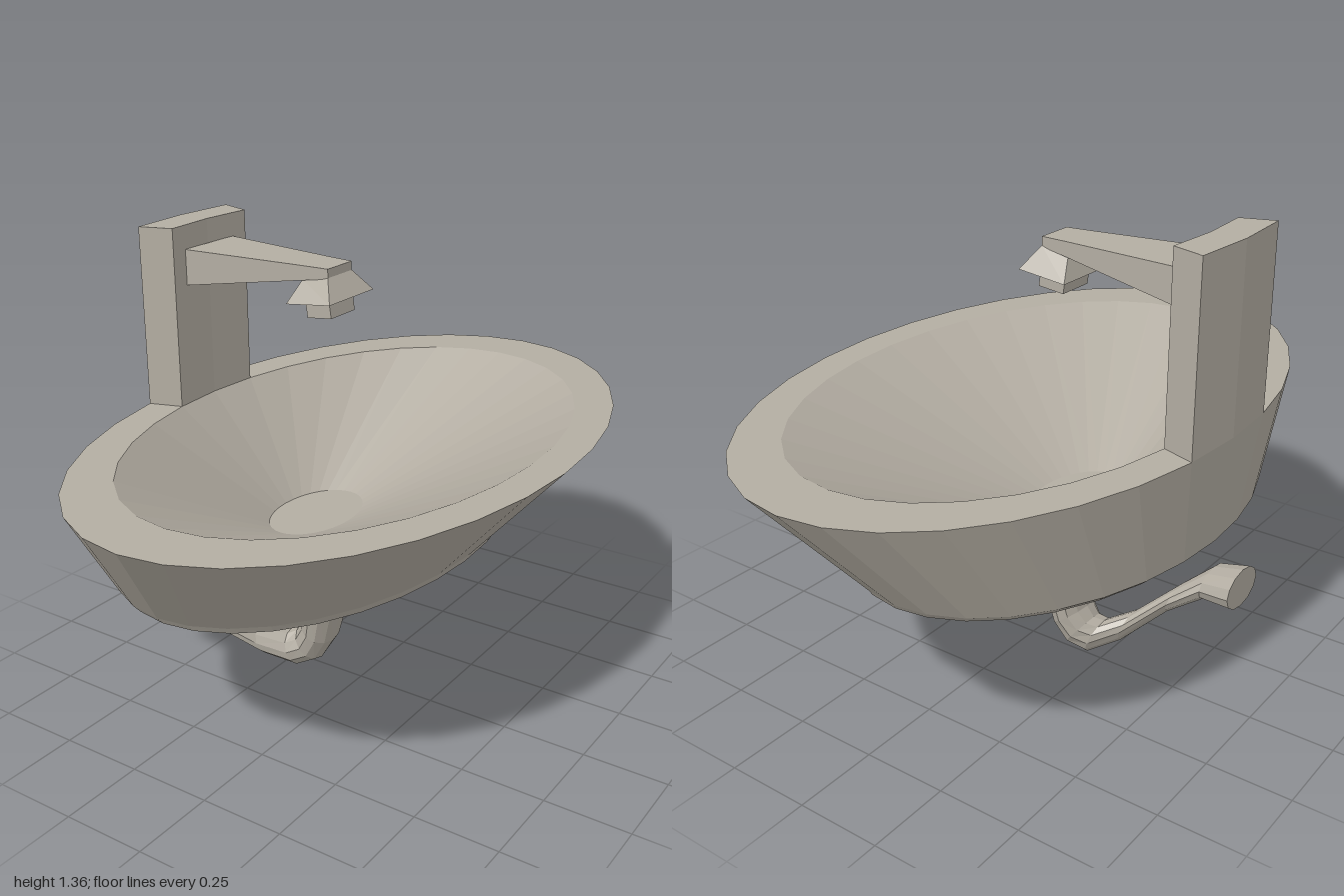
import * as THREE from 'three';

const ceramic = new THREE.MeshStandardMaterial({ color: 0xb3ada2, flatShading: true });
ceramic.name = 'warm grey ceramic';

const V = (x, y, z) => new THREE.Vector3(x, y, z);

// Skin a chain of equal-length loops, closing the first and last with caps.
function loft(name, loops) {
  const pos = [];
  const tri = (...pts) => pts.forEach((p) => pos.push(p.x, p.y, p.z));
  const n = loops[0].length;
  const centre = (loop) => loop.reduce((s, p) => s.add(p), V(0, 0, 0)).divideScalar(n);
  const first = loops[0], last = loops[loops.length - 1];
  const c0 = centre(first), c1 = centre(last);
  for (let i = 0; i < n; i++) {
    const j = (i + 1) % n;
    for (let k = 0; k + 1 < loops.length; k++) {
      const a = loops[k], b = loops[k + 1];
      tri(a[i], a[j], b[i]);
      tri(a[j], b[j], b[i]);
    }
    tri(c0, first[j], first[i]);
    tri(c1, last[i], last[j]);
  }
  const geometry = new THREE.BufferGeometry();
  geometry.setAttribute('position', new THREE.Float32BufferAttribute(pos, 3));
  geometry.computeVertexNormals();
  const mesh = new THREE.Mesh(geometry, ceramic);
  mesh.name = name;
  return mesh;
}

// Horizontal ellipse
function ellipse(cx, y, rx, rz, n = 32) {
  return Array.from({ length: n }, (_, i) => {
    const t = (i / n) * Math.PI * 2;
    return V(cx + rx * Math.cos(t), y, rz * Math.sin(t));
  });
}

// Four corners of a slightly tilted rectangle spanning two x,y points
const tilted = (x0, y0, x1, y1, hz) =>
  [V(x1, y1, hz), V(x0, y0, hz), V(x0, y0, -hz), V(x1, y1, -hz)];

// Upright rectangle across the arm
const upright = (x, y0, y1, hz) =>
  [V(x, y1, hz), V(x, y0, hz), V(x, y0, -hz), V(x, y1, -hz)];

export function createModel() {
  const group = new THREE.Group();
  group.name = 'washBasin';

  // Basin: drain floor, sloped bowl, flat rim, outer wall and underside
  group.add(loft('basin', [
    ellipse(-0.16, 0.52, 0.115, 0.18),
    ellipse(0, 0.83, 0.54, 0.835),
    ellipse(0, 0.83, 0.64, 1),
    ellipse(-0.122, 0.515, 0.483, 0.755),
    ellipse(-0.115, 0.495, 0.467, 0.74),
  ]));

  // Back post, rising from two segments of the rim
  const rimPoint = (rx, rz, step, y) => {
    const t = Math.PI + (step * Math.PI) / 16;
    return V(rx * Math.cos(t), y, rz * Math.sin(t));
  };
  const postLoop = (y) => [
    ...[-1, 0, 1].map((s) => rimPoint(0.64, 1, s, y)),
    ...[1, 0, -1].map((s) => rimPoint(0.54, 0.835, s, y)),
  ];
  group.add(loft('backPost', [postLoop(1.36), postLoop(0.83)]));

  // Tapering tap arm
  group.add(loft('tapArm', [
    upright(-0.535, 1.185, 1.29, 0.108),
    upright(-0.16, 1.243, 1.286, 0.066),
    upright(-0.07, 1.257, 1.285, 0.058),
  ]));

  // Flared spout head and square nozzle
  group.add(loft('spoutHead', [
    tilted(-0.155, 1.245, -0.07, 1.26, 0.058),
    tilted(-0.177, 1.183, -0.03, 1.2, 0.108),
  ]));
  group.add(loft('nozzle', [
    tilted(-0.147, 1.187, -0.067, 1.196, 0.058),
    tilted(-0.14, 1.138, -0.06, 1.147, 0.058),
  ]));

  // Funnel below the basin
  group.add(loft('drainFunnel', [
    ellipse(-0.122, 0.497, 0.155, 0.24, 24),
    ellipse(-0.122, 0.39, 0.068, 0.108, 24),
  ]));

  // Drain pipe sections: outer x, y, inner x, y, centre z, half depth
  const sections = [
    [-0.055, 0.39, -0.19, 0.39, 0, 0.106],
    [-0.068, 0.23, -0.186, 0.23, 0.002, 0.092],
    [-0.1, 0.1, -0.195, 0.16, 0.005, 0.08],
    [-0.14, 0.03, -0.215, 0.125, 0.012, 0.07],
    [-0.2, 0, -0.24, 0.112, 0.03, 0.063],
    [-0.28, 0.04, -0.31, 0.142, 0.085, 0.06],
    [-0.39, 0.14, -0.42, 0.235, 0.17, 0.064],
    [-0.49, 0.2, -0.5, 0.3, 0.215, 0.078],
    [-0.6, 0.21, -0.6, 0.33, 0.2, 0.09],
  ];
  const sides = 12;
  group.add(loft('drainPipe', sections.map(([ox, oy, ix, iy, z, rz]) =>
    Array.from({ length: sides }, (_, i) => {
      const t = (i / sides) * Math.PI * 2;
      const c = Math.cos(t) / 2;
      return V((ox + ix) / 2 + (ox - ix) * c, (oy + iy) / 2 + (oy - iy) * c, z + rz * Math.sin(t));
    }))));

  return group;
}
